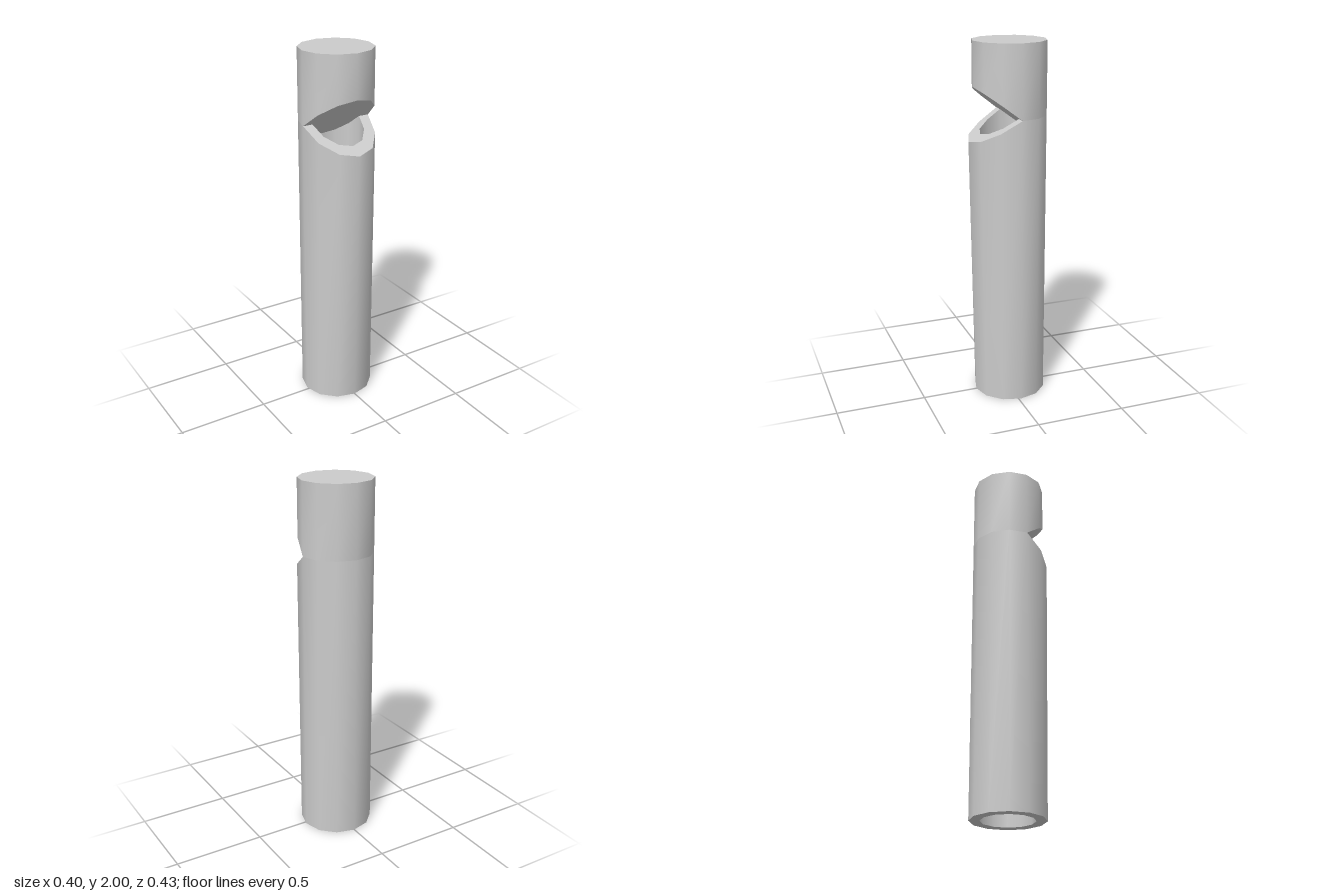
import * as THREE from 'three';

const SIDES = 12, OUTER = 0.202, BORE = 0.145, AXIS_Z = -0.015;
const TOP = 2, NOTCH = 1.605, LIP_SLOPE = -0.668, ROOF_SLOPE = 0.767;

// One loop of corners, starting at the model's right side and running round the front.
// yAt receives the corner's depth in front of the axis; flare pushes front corners forward.
function loop(radius, yAt, flare = 0) {
  return Array.from({ length: SIDES }, (_, i) => {
    const a = (i - SIDES / 4) * 2 * Math.PI / SIDES;
    const z = radius * Math.cos(a);
    const push = flare * radius * Math.pow(Math.max(0, Math.cos(a)), 1.5);
    return [radius * Math.sin(a), yAt(z), z + push + AXIS_Z];
  });
}

// Joins two loops with quads over a run of segments, normals smooth within the strip.
function strip(name, a, b, first = 0, count = SIDES) {
  const index = [];
  for (let s = first; s < first + count; s++) {
    const i = s % SIDES, j = (s + 1) % SIDES;
    index.push(i, j, SIDES + j, i, SIDES + j, SIDES + i);
  }
  const geometry = new THREE.BufferGeometry();
  geometry.setAttribute('position', new THREE.Float32BufferAttribute([...a, ...b].flat(), 3));
  geometry.setIndex(index);
  geometry.computeVertexNormals();
  const mesh = new THREE.Mesh(geometry, new THREE.MeshStandardMaterial({ color: 0xcccccc }));
  mesh.name = name;
  return mesh;
}

export function createModel() {
  const group = new THREE.Group();
  group.name = 'whistle';

  const half = SIDES / 2;
  const lipY = z => NOTCH + LIP_SLOPE * Math.max(0, z);
  const roofY = z => NOTCH + ROOF_SLOPE * z;
  const level = y => () => y;

  const outerBase = loop(OUTER, level(0));
  const boreBase = loop(BORE, level(0));
  const outerLip = loop(OUTER, lipY, 0.143);
  const boreLip = loop(BORE, lipY, 0.143);
  const outerRoof = loop(OUTER, z => roofY(Math.max(0, z)));
  const boreRoof = loop(BORE, roofY);
  const outerTop = loop(OUTER, level(TOP));
  // The bore ends at the lip in front and at the sloping roof behind
  const boreEnd = boreLip.map((p, i) => (i <= half ? p : boreRoof[i]));

  group.add(
    // Tube below and above the notch
    strip('lowerBody', outerBase, outerLip),
    strip('upperBody', outerRoof, outerTop),
    strip('boreWall', boreEnd, boreBase),
    // End faces
    strip('bottomRim', boreBase, outerBase),
    strip('topCap', outerTop, loop(0, level(TOP))),
    // Notch: sloping lip, and a slanted roof that carries on to close the bore
    strip('notchLip', outerLip, boreLip, 0, half),
    strip('notchRoof', loop(0, level(NOTCH)), outerRoof, 0, half),
    strip('boreRoof', loop(0, level(NOTCH)), boreRoof, half, half),
  );
  return group;
}
